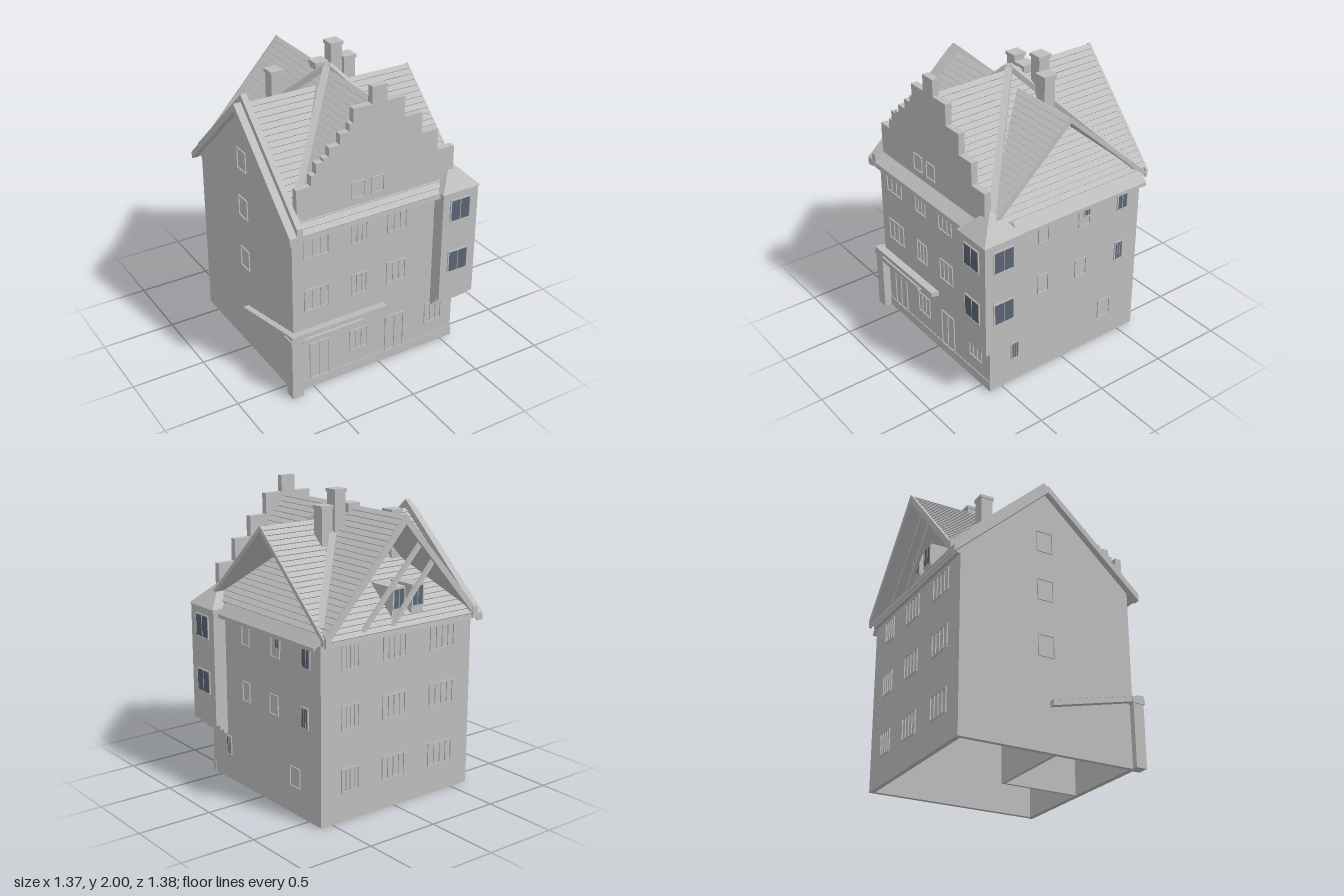
import * as THREE from 'three';

export function createModel() {
  const model = new THREE.Group();
  const plaster = new THREE.MeshStandardMaterial({ color: 0xbdbdbd, side: THREE.DoubleSide });
  plaster.name = 'grey plaster';
  const glass = new THREE.MeshStandardMaterial({ color: 0x5a6473 });
  glass.name = 'blue grey glass';

  function add(name, geometry, material = plaster, parent = model) {
    const mesh = new THREE.Mesh(geometry, material);
    mesh.name = name;
    parent.add(mesh);
    return mesh;
  }
  // Box given by its limits on each axis
  function box(name, [x0, x1], [y0, y1], [z0, z1], material, parent) {
    const g = new THREE.BoxGeometry(x1 - x0, y1 - y0, z1 - z0);
    g.translate((x0 + x1) / 2, (y0 + y1) / 2, (z0 + z1) / 2);
    return add(name, g, material, parent);
  }
  function extrude(points, depth) {
    const shape = new THREE.Shape(points.map(([x, y]) => new THREE.Vector2(x, y)));
    return new THREE.ExtrudeGeometry(shape, { depth, bevelEnabled: false });
  }
  // Straight timber between two points
  function beam(name, a, b, width, height) {
    const A = new THREE.Vector3(...a), B = new THREE.Vector3(...b);
    const mesh = add(name, new THREE.BoxGeometry(width, height, A.distanceTo(B)));
    mesh.position.copy(A).lerp(B, 0.5);
    mesh.lookAt(B);
  }

  // Outer walls, open underneath
  const X0 = -0.64, X1 = 0.585, Z0 = -0.625, Z1 = 0.59;
  box('frontWall', [X0, X1], [0, 1.2], [Z1 - 0.03, Z1]);
  box('backWall', [X0, X1], [0, 1.18], [Z0, Z0 + 0.03]);
  box('rightWall', [X1 - 0.03, X1], [0, 1.18], [Z0, Z1]);
  const side = extrude([[-Z0, 0], [-Z0, 1.22], [0.02, 1.78], [-Z1, 1.2], [-Z1, 0]], 0.03);
  side.rotateY(Math.PI / 2).translate(X0, 0, 0);
  add('leftGableWall', side);
  box('atticFloor', [X0 + 0.01, X1 - 0.01], [1.14, 1.17], [Z0 + 0.01, Z1 - 0.01]);
  box('plinth', [X0, X1 + 0.004], [0, 0.07], [Z1 - 0.02, Z1 + 0.005]);
  box('rightCornice', [X1 - 0.02, 0.6], [1.16, 1.185], [Z0, 0.41]);
  box('backCornice', [X0, X1], [1.16, 1.2], [-0.65, Z0]);

  // Ground floor corner room and pillar
  box('roomPartition', [X0, 0.0], [0, 0.32], [0.02, 0.04]);
  box('roomPartition', [-0.02, 0.0], [0, 0.32], [0.02, Z1 - 0.03]);
  box('fasciaBoard', [-0.6, -0.15], [0.395, 0.43], [Z1, 0.65]);
  box('cornerPillar', [-0.68, -0.6], [0, 0.42], [0.57, 0.645]);
  box('pillarCapital', [-0.688, -0.59], [0.415, 0.445], [0.56, 0.65]);

  // Roof slopes with stepped tile courses; d runs outward from the ridge
  function tiledSlope(sign, ridge, pitch, run, rows, length) {
    const y = d => ridge - pitch * d, pts = [[0, ridge]];
    for (let i = 1; i <= rows; i++) {
      const d = run * i / rows;
      pts.push([sign * (d + 0.002), y(d) + 0.007], [sign * (d - 0.002), y(d) + 0.002]);
    }
    pts.push([sign * run, y(run) - 0.03], [0, ridge - 0.03]);
    return extrude(pts, length);
  }
  function plainSlope(sign, top, pitch, run, thick, length) {
    const low = top - pitch * run;
    return extrude([[0, top], [sign * run, low], [sign * run, low - thick], [0, top - thick]], length);
  }
  const cross = g => g.rotateY(Math.PI / 2);
  const C = -0.02;
  for (const s of [-1, 1]) {
    add('mainRoofSlope', tiledSlope(s, 1.885, 1.1, 0.6, 22, 1.22).translate(C, 0, -0.67));
    add('backVerge', plainSlope(s, 1.89, 1.1, 0.61, 0.06, 0.02).translate(C, 0, -0.685));
    const run = s < 0 ? 0.67 : 0.66;
    add('crossRoofSlope', cross(tiledSlope(s, 1.79, 0.915, run, 22, 1.215)).translate(-0.63, 0, C));
    add('rightVerge', cross(plainSlope(s, 1.795, 0.915, run - 0.02, 0.035, 0.012)).translate(0.58, 0, C));
    add('leftVerge', cross(plainSlope(s, 1.8, 0.915, 0.67, 0.05, 0.05)).translate(-0.685, 0, C));
    add('leftCoping', cross(plainSlope(s, 1.85, 0.915, 0.67, 0.08, 0.04)).translate(-0.635, 0, C));
    // Boards over the four valleys
    for (const t of [-1, 1])
      beam('valleyBoard', [C, 1.908, C], [C + s * 0.585, 1.25, C + t * 0.575], 0.045, 0.035);
  }
  // Foot of the right slope, running out over the wall
  add('rightEave', plainSlope(1, 1.23, 1.1, 0.065, 0.025, 1.04).translate(0.575, 0, -0.63));
  // Tiled canopy rising towards the front, passing through the left wall
  add('canopy', cross(tiledSlope(1, 0.475, 0.24, 0.66, 14, 0.7)).translate(-0.68, 0, 0.65));

  // Braces in the open back gable
  beam('gableBrace', [0.29, 1.2, -0.65], [-0.17, 1.7, -0.65], 0.025, 0.025);
  beam('gableBrace', [0.06, 1.2, -0.65], [-0.28, 1.58, -0.65], 0.025, 0.025);

  // Stepped front gable: right edge and height of each step
  let left = -0.6;
  const steps = [[-0.5, 1.46], [-0.465, 1.53], [-0.415, 1.6], [-0.375, 1.62], [-0.3, 1.68], [-0.235, 1.75],
    [-0.21, 1.8], [-0.08, 1.89], [0.025, 2.0], [0.155, 1.89], [0.285, 1.75], [0.41, 1.61], [0.54, 1.46]];
  const outline = [[left, 1.2]];
  for (const [right, top] of steps) {
    outline.push([left, top], [right, top]);
    left = right;
  }
  outline.push([0.54, 1.2]);
  add('steppedGable', extrude(outline, 0.045).translate(0, 0, 0.54));

  // Chimneys: centre x, centre z, top, base
  for (const [x, z, top, base] of [[-0.27, -0.265, 1.85, 1.4], [0.11, -0.165, 2, 1.5],
    [0.195, -0.143, 1.9, 1.5], [-0.015, -0.143, 1.9, 1.7]]) {
    box('chimney', [x - 0.041, x + 0.041], [base, top - 0.02], [z - 0.041, z + 0.041]);
    box('chimneyCap', [x - 0.048, x + 0.048], [top - 0.022, top], [z - 0.048, z + 0.048]);
  }

  // Corner oriel on a stepped corbel, with a pyramid roof
  box('oriel', [0.405, 0.675], [0.39, 1.19], [0.41, 0.685]);
  box('orielCorbel', [0.405, 0.645], [0.355, 0.39], [0.41, 0.655]);
  box('orielCorbel', [0.405, 0.615], [0.325, 0.36], [0.41, 0.625]);
  const cone = new THREE.ConeGeometry(0.145 * Math.SQRT2, 0.145, 4, 1).toNonIndexed();
  cone.rotateY(Math.PI / 4).translate(0.54, 1.2625, 0.548);
  cone.computeVertexNormals();
  add('orielRoof', cone);

  // Framed window facing +z before it is turned
  function windowUnit(name, pos, turn, w, h, glazed, panes = 2) {
    const g = new THREE.Group(), t = 0.009;
    g.name = name;
    for (const s of [-1, 1]) {
      box('frameSide', [s * w / 2 - t / 2, s * w / 2 + t / 2], [-h / 2, h / 2], [0, 0.008], plaster, g);
      box('frameRail', [-w / 2, w / 2], [s * h / 2 - t / 2, s * h / 2 + t / 2], [0, 0.008], plaster, g);
    }
    for (let i = 1; i < panes; i++) {
      const x = -w / 2 + w * i / panes;
      box('mullion', [x - 0.002, x + 0.002], [-h / 2, h / 2], [0, 0.007], plaster, g);
    }
    if (glazed) box('pane', [-w / 2, w / 2], [-h / 2, h / 2], [-0.002, 0.005], glass, g);
    g.position.set(...pos);
    g.rotation.y = turn;
    model.add(g);
  }
  const R = Math.PI / 2;
  for (const y of [0.675, 1.055]) {
    windowUnit('orielWindow', [0.538, y, 0.685], 0, 0.15, 0.155, true);
    windowUnit('orielWindow', [0.675, y, 0.548], R, 0.15, 0.155, true);
    for (const [x, w] of [[-0.47, 0.17], [-0.16, 0.11], [0.12, 0.14]])
      windowUnit('frontWindow', [x, y, Z1], 0, w, 0.15, false, 3);
    windowUnit('rightWindow', [X1, y, 0.17], R, 0.08, 0.13, false, 1);
  }
  windowUnit('rightWindow', [X1, 1.05, -0.16], R, 0.09, 0.13, false, 1);
  windowUnit('rightWindow', [X1, 0.67, -0.14], R, 0.09, 0.13, false, 1);
  windowUnit('rightWindow', [X1, 0.25, -0.36], R, 0.1, 0.13, false, 1);
  windowUnit('rightSmallWindow', [X1, 1.08, -0.185], R, 0.058, 0.066, true);
  windowUnit('rightWindow', [X1, 1.052, -0.48], R, 0.082, 0.125, true);
  windowUnit('rightWindow', [X1, 0.67, -0.467], R, 0.066, 0.135, true, 3);
  windowUnit('rightWindow', [X1, 0.245, 0.393], R, 0.055, 0.125, true, 3);

  // Ground floor openings and gable windows on the front
  for (const x of [-0.45, 0.12]) windowUnit('frontDoor', [x, 0.2, Z1], 0, 0.14, 0.27, false);
  for (const x of [-0.16, 0.43]) windowUnit('shopWindow', [x, 0.25, Z1], 0, 0.13, 0.15, false, 3);
  for (const x of [-0.17, -0.03]) windowUnit('gableWindow', [x, 1.35, 0.585], 0, 0.09, 0.11, false, 1);

  // Back and left windows
  for (const y of [0.27, 0.68, 1.06])
    for (const [x, w] of [[0.36, 0.13], [0.01, 0.18], [-0.39, 0.2]])
      windowUnit('backWindow', [x, y, Z0], 2 * R, w, 0.15, false, 4);
  for (const y of [0.68, 1.06, 1.4]) windowUnit('leftWindow', [X0, y, -0.03], -R, 0.11, 0.14, false, 1);

  // Small attic dormers inside the open back gable
  for (const x of [-0.02, -0.175]) {
    box('atticDormer', [x - 0.05, x + 0.05], [1.22, 1.435], [-0.62, -0.42]);
    windowUnit('atticWindow', [x, 1.36, -0.62], 2 * R, 0.09, 0.13, true);
  }

  return model;
}
